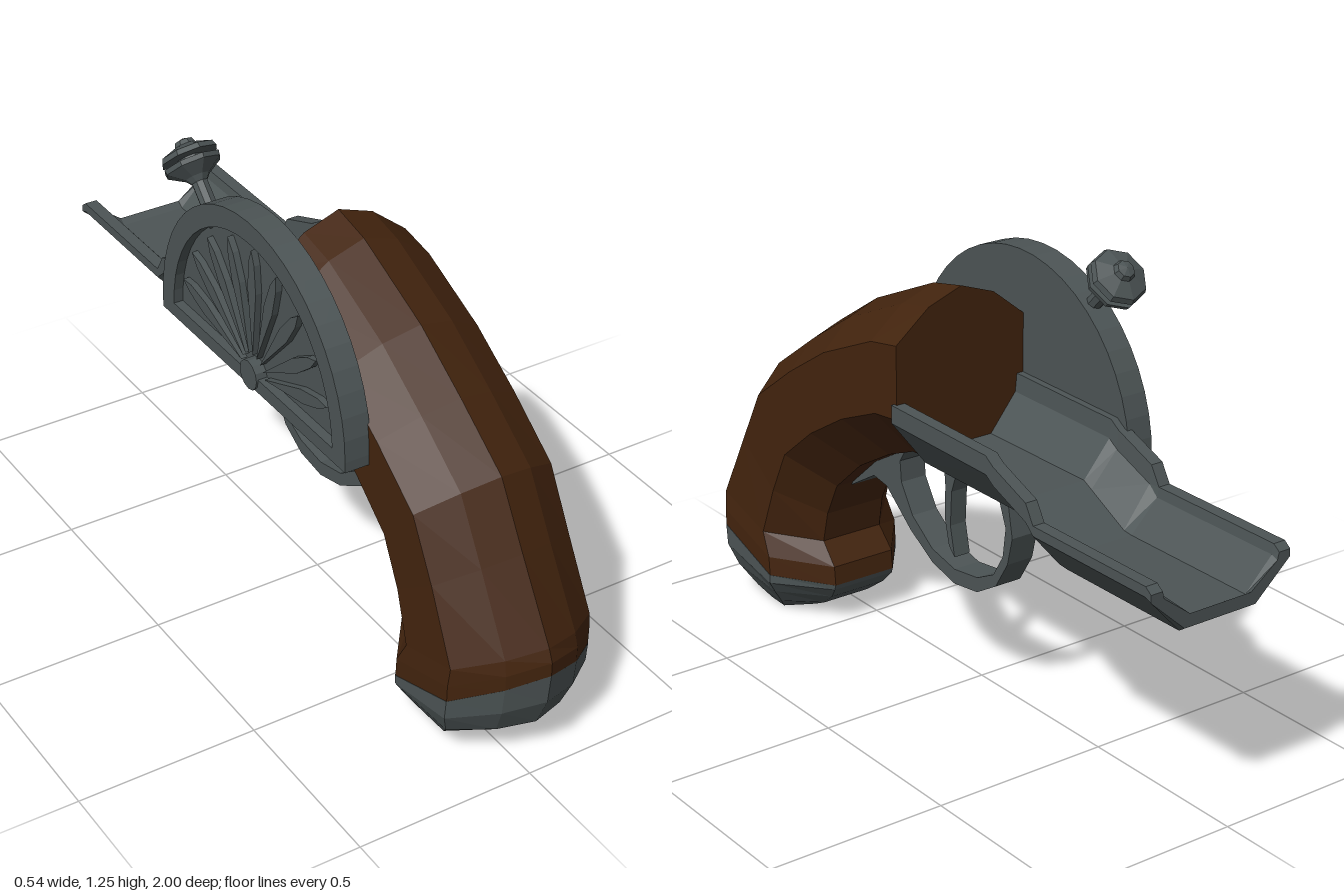
import * as THREE from 'three';

const metal = new THREE.MeshStandardMaterial({ color: 0x4c5455 });
metal.name = 'gunmetal';
const wood = new THREE.MeshStandardMaterial({ color: 0x43240e });
wood.name = 'dark wood';

const CX = 0.05; // centre plane of grip and barrel

// Faceted skin over equal-length loops of [x, y, z], closed at both ends
function loft(loops) {
  const pos = [];
  const n = loops[0].length;
  const quad = (a, b, c, d) => pos.push(...a, ...b, ...c, ...a, ...c, ...d);
  for (let i = 0; i < loops.length - 1; i++) {
    for (let j = 0; j < n; j++) {
      const k = (j + 1) % n;
      quad(loops[i][j], loops[i + 1][j], loops[i + 1][k], loops[i][k]);
    }
  }
  const first = loops[0], last = loops[loops.length - 1];
  for (let i = 0; i < n / 2 - 1; i++) {
    const [p, q, r, s] = [i, i + 1, n - 2 - i, n - 1 - i];
    quad(first[p], first[q], first[r], first[s]);
    quad(last[s], last[r], last[q], last[p]);
  }
  const g = new THREE.BufferGeometry();
  g.setAttribute('position', new THREE.Float32BufferAttribute(pos, 3));
  g.computeVertexNormals();
  return g;
}

// Side profile in [z, y], extruded between x0 and x1
function slab(points, x0, x1, hole) {
  const shape = new THREE.Shape(points.map(p => new THREE.Vector2(...p)));
  if (hole) shape.holes.push(new THREE.Path(hole.map(p => new THREE.Vector2(...p))));
  const g = new THREE.ExtrudeGeometry(shape, { depth: x1 - x0, bevelEnabled: false });
  return g.rotateY(-Math.PI / 2).translate(x1, 0, 0);
}

// Grip section: u runs from the back ridge to the inner side, v across the width
const GRIP = [[0, 0], [0.08, 0.5], [0.26, 1], [0.7, 1], [1, 0.45], [1, -0.45], [0.7, -1], [0.26, -1], [0.08, -0.5]];
// Station: back z, y; inner z, y; half width; sag
const gripLoop = ([oz, oy, iz, iy, w, sag]) => GRIP.map(([u, v]) => [
  CX + v * w, oy + (iy - oy) * u - sag * 4 * u * (1 - u), oz + (iz - oz) * u]);

// Barrel trough section at z, between top and bottom, with lip height
function troughLoop([z, top, bottom, lip]) {
  const side = [[0.215, top], [0.215, top - lip], [0.11, bottom]];
  const inner = [[0.18, top], [0.175, top - lip], [0.095, bottom + 0.035]];
  const mirror = pts => pts.map(([x, y]) => [-x, y]).reverse();
  return [...side, ...mirror(side), ...mirror(inner).reverse(), ...inner.reverse()]
    .map(([x, y]) => [CX + x, y, z]);
}

// Upper half disc outline with a flat bottom edge
function halfDisc(cz, cy, r, bottom, steps = 24) {
  const pts = [[cz + r, bottom]];
  for (let i = 0; i <= steps; i++) {
    const a = Math.PI * i / steps;
    pts.push([cz + r * Math.cos(a), cy + r * Math.sin(a)]);
  }
  pts.push([cz - r, bottom]);
  return pts;
}

export function createModel() {
  const model = new THREE.Group();
  const add = (name, geometry, material, parent = model) => {
    const m = new THREE.Mesh(geometry, material);
    m.name = name;
    parent.add(m);
    return m;
  };

  // Curved wooden grip
  add('grip', loft([
    [0.02, 1.12, 0.02, 0.66, 0.205, 0],
    [0.14, 1.095, 0.11, 0.655, 0.205, 0],
    [0.4, 0.98, 0.22, 0.61, 0.205, 0],
    [0.58, 0.865, 0.36, 0.53, 0.205, 0],
    [0.76, 0.74, 0.475, 0.43, 0.205, 0],
    [0.86, 0.57, 0.525, 0.33, 0.205, 0.01],
    [0.985, 0.365, 0.545, 0.24, 0.21, 0.03],
    [1.0, 0.33, 0.49, 0.18, 0.215, 0.045],
    [1.0, 0.29, 0.485, 0.125, 0.215, 0.05],
  ].map(gripLoop)), wood);

  // Metal butt cap
  add('buttCap', loft([
    [1.0, 0.29, 0.485, 0.125, 0.216, 0.05],
    [0.99, 0.2, 0.49, 0.11, 0.216, 0.035],
    [0.95, 0.11, 0.52, 0.075, 0.195, 0.015],
    [0.86, 0.04, 0.58, 0.03, 0.165, 0.005],
    [0.78, 0.005, 0.64, 0, 0.145, 0],
  ].map(gripLoop)), metal);

  // Open trough barrel, stepped down toward the muzzle
  add('barrel', loft([
    [-1, 0.7, 0.585, 0.02],
    [-0.98, 0.715, 0.572, 0.027],
    [-0.56, 0.715, 0.572, 0.027],
    [-0.53, 0.765, 0.575, 0.05],
    [-0.4, 0.815, 0.64, 0.05],
    [-0.37, 0.835, 0.655, 0.05],
    [0.03, 0.84, 0.655, 0.05],
  ].map(troughLoop)), metal);

  // Fan-shaped side wheel: back plate, rim, rays and hub
  const wheel = new THREE.Group();
  wheel.name = 'sideWheel';
  model.add(wheel);
  const wz = 0.035, wy = 0.72;
  const outline = halfDisc(wz, wy, 0.455, 0.69);
  add('wheelPlate', slab(outline, -0.198, -0.15), metal, wheel);
  add('wheelRim', slab(outline, -0.225, -0.198, halfDisc(wz, wy, 0.395, 0.73).slice(1, -1)
    .map(([z, y]) => [z, Math.max(y, 0.73)])), metal, wheel);
  for (let i = 0; i < 9; i++) {
    const a = Math.PI * (0.09 + 0.82 * i / 8);
    const c = Math.cos(a), s = Math.sin(a);
    const ray = [[0.06, 0], [0.25, -0.02], [0.33, -0.014], [0.37, 0], [0.33, 0.014], [0.25, 0.02]]
      .map(([r, t]) => [wz + r * c - t * s, wy + r * s + t * c]);
    add('wheelRay', slab(ray, -0.216, -0.198), metal, wheel);
  }
  const hub = new THREE.CylinderGeometry(0.042, 0.042, 0.035, 12).toNonIndexed();
  hub.computeVertexNormals();
  add('wheelHub', hub.rotateZ(Math.PI / 2).translate(-0.2125, wy + 0.005, wz), metal, wheel);

  // Slotted knob on a slanted stem
  const knob = new THREE.LatheGeometry([
    [0, -0.03], [0.022, -0.03], [0.022, 0.09], [0.035, 0.105], [0.078, 0.132], [0.08, 0.145], [0.035, 0.147],
    [0.035, 0.158], [0.08, 0.16], [0.074, 0.175], [0.03, 0.192], [0.024, 0.205], [0, 0.212],
  ].map(p => new THREE.Vector2(...p)), 8).toNonIndexed();
  knob.computeVertexNormals();
  add('hammerKnob', knob.rotateX(-Math.PI / 4).translate(-0.19, 1.07, -0.2), metal);

  // Trigger guard with its rear strap
  add('triggerGuard', slab([
    [0.2, 0.64], [0.3, 0.6], [0.5, 0.44], [0.505, 0.405], [0.37, 0.485], [0.31, 0.475], [0.2, 0.385],
    [0.1, 0.325], [0, 0.3], [-0.1, 0.313], [-0.18, 0.36], [-0.23, 0.44], [-0.25, 0.52], [-0.235, 0.6],
    [-0.21, 0.66], [-0.14, 0.66], [-0.19, 0.62], [-0.222, 0.54], [-0.21, 0.455], [-0.17, 0.39], [-0.1, 0.355],
    [0, 0.342], [0.1, 0.365], [0.19, 0.43], [0.24, 0.51], [0.245, 0.57],
  ], CX - 0.04, CX + 0.04), metal);

  // Trigger blade
  add('trigger', slab([
    [0.07, 0.67], [0.06, 0.56], [0.062, 0.46], [0.045, 0.39], [0.02, 0.365],
    [0.038, 0.45], [0.032, 0.55], [0.01, 0.61], [-0.02, 0.67],
  ], CX - 0.025, CX + 0.025), metal);

  return model;
}
